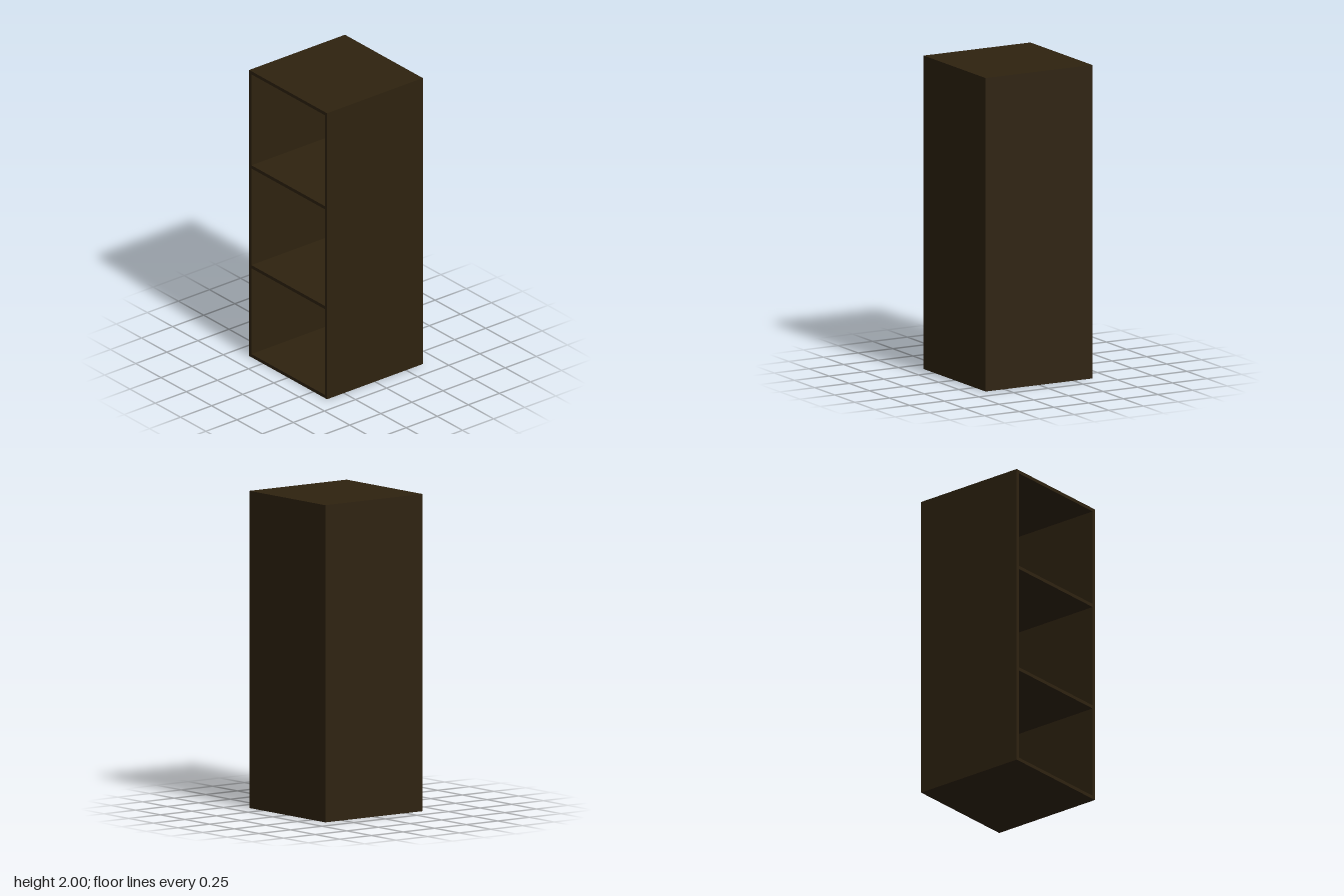
import * as THREE from 'three';

const W = 0.77, H = 2, D = 0.77, T = 0.022; // outer size and board thickness

export function createModel() {
  const group = new THREE.Group();
  group.name = 'openShelfCabinet';
  const darkWood = new THREE.MeshStandardMaterial({ color: 0x2e220f });
  darkWood.name = 'dark wood';

  const board = (name, w, h, d, x, y, z) => {
    const mesh = new THREE.Mesh(new THREE.BoxGeometry(w, h, d), darkWood);
    mesh.name = name;
    mesh.position.set(x, y, z);
    group.add(mesh);
  };

  // Side panels run the full height
  for (const [name, s] of [['leftSide', 1], ['rightSide', -1]]) {
    board(name, T, H, D, s * (W - T) / 2, H / 2, 0);
  }

  // Top and bottom fit between the sides
  const inner = W - 2 * T;
  board('topPanel', inner, T, D, 0, H - T / 2, 0);
  board('bottomPanel', inner, T, D, 0, T / 2, 0);

  // Back panel closes the frame
  board('backPanel', inner, H - 2 * T, T, 0, H / 2, -(D - T) / 2);

  // Two shelves, flush with the front
  for (const [name, y] of [['lowerShelf', 0.633], ['upperShelf', 1.331]]) {
    board(name, inner, T, D - T, 0, y, T / 2);
  }
  return group;
}
